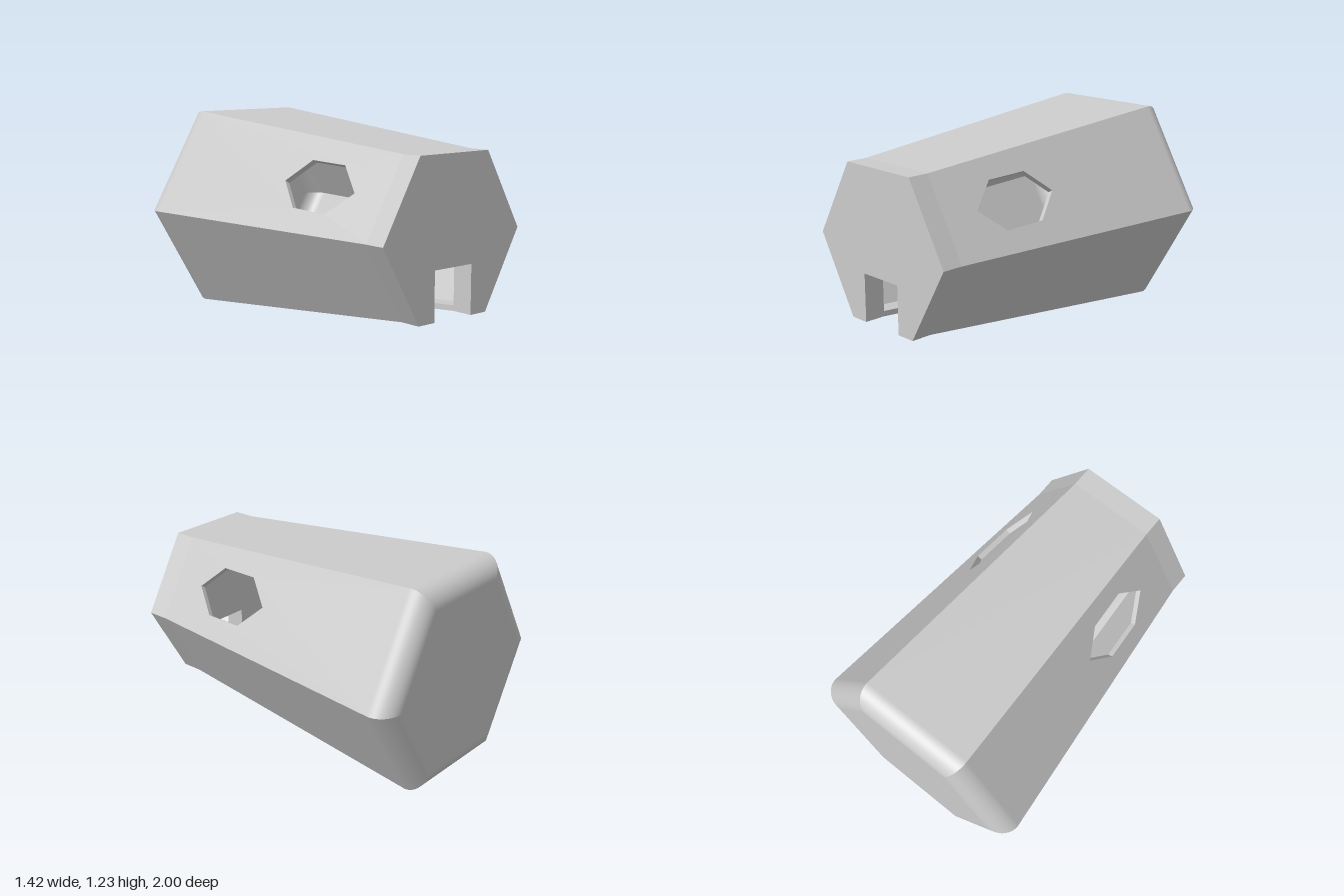
import * as THREE from 'three';

const WALL = 0.033;
const CY = 0.614;                      // height of the long axis
const Z_FRONT = 0.87, Z_BACK = -0.87;  // ends of the tapered section
const A_FRONT = 0.46, A_BACK = 0.613;  // centre-to-flat distance at those ends
const BEND = { z: -0.88, a: 0.494, r: 0.12 }; // centre and radius of the rounded rear edge
const NOTCH = { half: 0.145, top: 0.445, end: 0.17 };

const material = new THREE.MeshStandardMaterial({ color: 0xcccccc, side: THREE.DoubleSide });

const flatDist = z => THREE.MathUtils.mapLinear(z, Z_FRONT, Z_BACK, A_FRONT, A_BACK);

// Point on side k of the hexagon: u runs along the side, a is the distance from the axis
function place(k, u, a, z) {
  const t = Math.PI / 6 + k * Math.PI / 3, c = Math.cos(t), s = Math.sin(t);
  return new THREE.Vector3(a * c - u * s, CY + a * s + u * c, z);
}

function add(group, geometry, name) {
  const mesh = new THREE.Mesh(geometry, material);
  mesh.name = name;
  group.add(mesh);
  return mesh;
}

// Strip of quads between rows of points; flat rows share no vertices
function strip(rows, smooth) {
  const pos = [], index = [];
  const n = rows[0].length;
  rows.forEach(row => row.forEach(p => pos.push(p.x, p.y, p.z)));
  for (let i = 0; i < rows.length - 1; i++)
    for (let j = 0; j < n - 1; j++) {
      const a = i * n + j, b = a + n;
      index.push(a, b, a + 1, a + 1, b, b + 1);
    }
  let g = new THREE.BufferGeometry();
  g.setAttribute('position', new THREE.Float32BufferAttribute(pos, 3));
  g.setIndex(index);
  if (!smooth) g = g.toNonIndexed();
  g.computeVertexNormals();
  return g;
}

// Tapered flat panel of side k, at the given depth below the outer skin
function panel(k, depth, notch, hole) {
  const w = z => (flatDist(z) - depth) / Math.sqrt(3);
  const outline = [[w(Z_FRONT), Z_FRONT], ...notch, [-w(Z_FRONT), Z_FRONT],
    [-w(Z_BACK), Z_BACK], [w(Z_BACK), Z_BACK]];
  const shape = new THREE.Shape(outline.map(p => new THREE.Vector2(...p)));
  if (hole.length) shape.holes.push(new THREE.Path(hole.map(p => new THREE.Vector2(...p))));
  const g = new THREE.ShapeGeometry(shape);
  const pos = g.attributes.position;
  for (let i = 0; i < pos.count; i++) {
    const z = pos.getY(i);
    const p = place(k, pos.getX(i), flatDist(z) - depth, z);
    pos.setXYZ(i, p.x, p.y, p.z);
  }
  g.computeVertexNormals();
  return g;
}

// Wall thickness seen around a cut-out
function rim(k, path) {
  return strip([0, WALL].map(d => path.map(([u, z]) => place(k, u, flatDist(z) - d, z))), false);
}

// Rounded rear edge of side k
function roundedEdge(k, r) {
  const rows = [];
  const arc = 16;
  for (let i = -1; i <= arc; i++) {
    const t = Math.max(i, 0) / arc * Math.PI / 2;
    const a = i < 0 ? flatDist(Z_BACK) - (BEND.r - r) : BEND.a + r * Math.cos(t);
    const z = i < 0 ? Z_BACK : BEND.z - r * Math.sin(t);
    const w = a / Math.sqrt(3);
    rows.push([place(k, -w, a, z), place(k, w, a, z)]);
  }
  return strip(rows, true);
}

function hexCorners(a) {
  return Array.from({ length: 6 }, (_, i) => new THREE.Vector2(
    Math.cos(i * Math.PI / 3), Math.sin(i * Math.PI / 3)).multiplyScalar(a * 2 / Math.sqrt(3)));
}

export function createModel() {
  const model = new THREE.Group();
  model.name = 'hexagonalHousing';

  // Thick front plate with a notch open at the bottom
  const h = NOTCH.half, top = NOTCH.top - CY;
  const corners = hexCorners(A_FRONT);
  corners.splice(5, 0, ...[[-h, -A_FRONT], [-h, top], [h, top], [h, -A_FRONT]]
    .map(p => new THREE.Vector2(...p)));
  const plate = new THREE.ExtrudeGeometry(new THREE.Shape(corners),
    { depth: 1 - Z_FRONT, bevelEnabled: false });
  add(model, plate, 'frontPlate').position.set(0, CY, Z_FRONT);

  // Six side walls: holes in the two upper sides, the notch carried on into the floor
  const holePath = [[0, 0.65], [0.15, 0.5], [0.15, 0.247], [0, 0.1], [-0.15, 0.247], [-0.15, 0.5]];
  const notchPath = [[h, Z_FRONT], [h, NOTCH.end], [-h, NOTCH.end], [-h, Z_FRONT]];
  for (let k = 0; k < 6; k++) {
    const side = new THREE.Group();
    side.name = ['upperLeftSide', 'topSide', 'upperRightSide',
      'lowerRightSide', 'bottomSide', 'lowerLeftSide'][k];
    const hole = k === 0 || k === 2 ? holePath : [];
    const notch = k === 4 ? notchPath : [];
    add(side, panel(k, 0, notch, hole), 'outerPanel');
    add(side, panel(k, WALL, notch, hole), 'innerPanel');
    add(side, roundedEdge(k, BEND.r), 'outerRearEdge');
    add(side, roundedEdge(k, BEND.r - WALL), 'innerRearEdge');
    if (hole.length) add(side, rim(k, [...hole, hole[0]]), 'holeRim');
    if (notch.length) add(side, rim(k, notch), 'notchRim');
    model.add(side);
  }

  // Rear wall, outside and inside
  [['rearFace', BEND.r], ['innerRearFace', BEND.r - WALL]].forEach(([name, r]) => {
    const face = add(model, new THREE.ShapeGeometry(new THREE.Shape(hexCorners(BEND.a))), name);
    face.rotation.y = Math.PI;
    face.position.set(0, CY, BEND.z - r);
  });

  return model;
}
